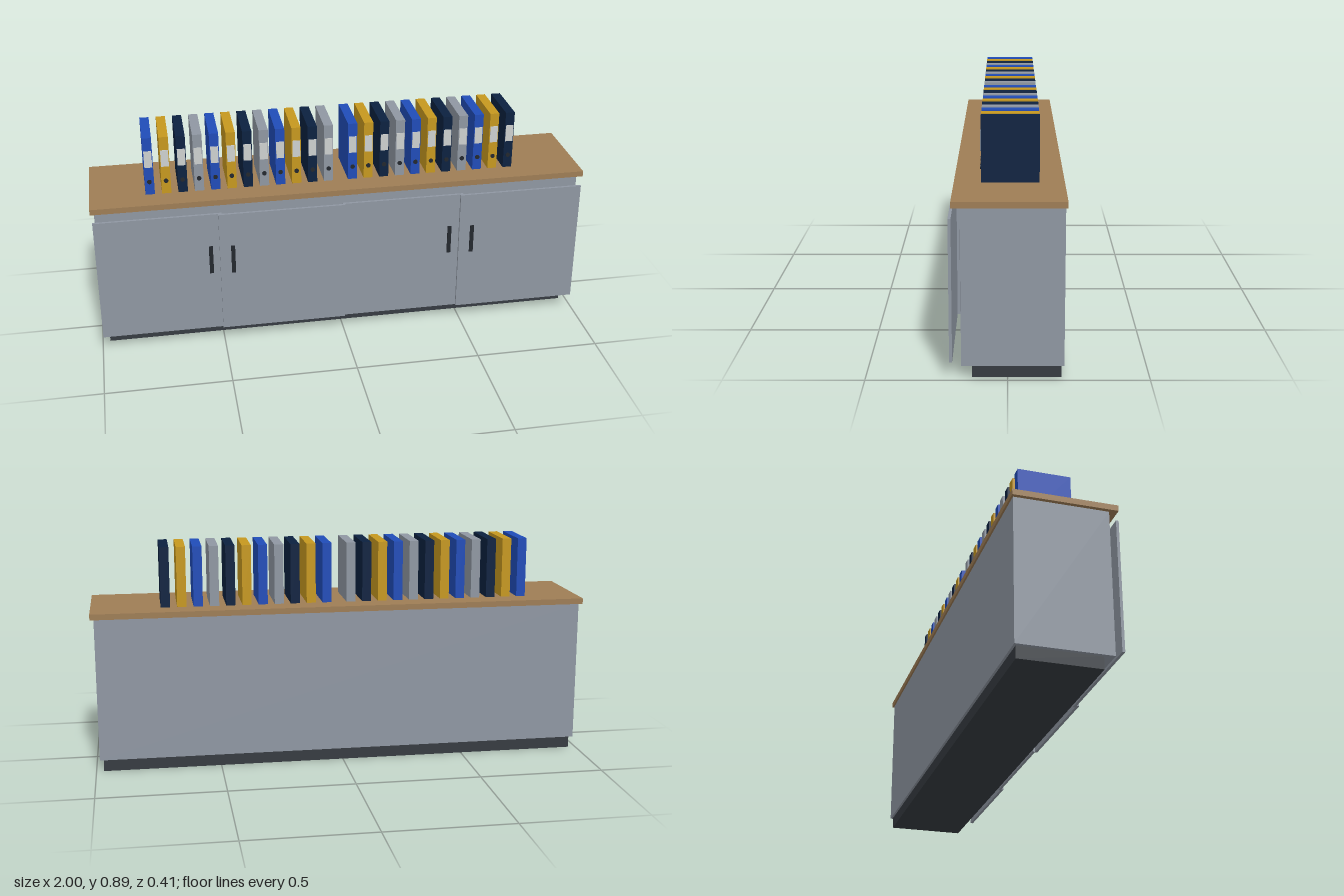
import * as THREE from 'three';

const mat = (name, color) => {
  const m = new THREE.MeshStandardMaterial({ color });
  m.name = name;
  return m;
};

export function createModel() {
  const grey = mat('cabinet grey', 0x8f97a2);
  const wood = mat('wood', 0x9e7d55);
  const dark = mat('dark plinth', 0x363b41);
  const black = mat('handle black', 0x23272d);
  const blue = mat('blue', 0x204cb8);
  const gold = mat('gold', 0xc6981f);
  const navy = mat('navy', 0x0b2140);
  const white = mat('label', 0xcdd0cf);

  const model = new THREE.Group();
  model.name = 'sideboard';

  // Box given by its limits on each axis
  const box = (parent, name, material, [x0, x1], [y0, y1], [z0, z1]) => {
    const mesh = new THREE.Mesh(new THREE.BoxGeometry(x1 - x0, y1 - y0, z1 - z0), material);
    mesh.position.set((x0 + x1) / 2, (y0 + y1) / 2, (z0 + z1) / 2);
    mesh.name = name;
    parent.add(mesh);
    return mesh;
  };

  // Cabinet
  box(model, 'plinth', dark, [-0.97, 0.97], [0, 0.048], [-0.19, 0.126]);
  box(model, 'carcass', grey, [-0.985, 0.985], [0.048, 0.622], [-0.199, 0.163]);
  box(model, 'worktop', wood, [-1, 1], [0.622, 0.645], [-0.206, 0.194]);

  // Sliding doors on two tracks, each with a bar handle
  const doors = [
    { x: [-0.994, -0.49], z: 0.184, handle: -0.54 },
    { x: [-0.505, 0.004], z: 0.194, handle: -0.452 },
    { x: [-0.004, 0.495], z: 0.184, handle: 0.442 },
    { x: [0.482, 0.992], z: 0.194, handle: 0.535 },
  ];
  for (const { x, z, handle } of doors) {
    const door = new THREE.Group();
    door.name = 'slidingDoor';
    box(door, 'doorPanel', grey, x, [0.063, 0.584], [z, z + 0.0105]);
    box(door, 'handle', black, [handle - 0.008, handle + 0.008], [0.321, 0.443], [z + 0.01, z + 0.0145]);
    model.add(door);
  }

  // Ring binders in two rows, colours repeating
  const covers = [blue, gold, navy, grey];
  const holeGeometry = new THREE.CylinderGeometry(0.009, 0.009, 0.004, 16).rotateX(Math.PI / 2);
  const addBinder = (x, cover) => {
    const binder = new THREE.Group();
    binder.name = 'binder';
    box(binder, 'binderCover', cover, [-0.0185, 0.0185], [0.645, 0.887], [-0.115, 0.096]);
    box(binder, 'spineLabel', white, [-0.0155, 0.0155], [0.762, 0.832], [0.096, 0.0985]);
    const hole = new THREE.Mesh(holeGeometry, black);
    hole.name = 'fingerHole';
    hole.position.set(0, 0.7, 0.0975);
    binder.add(hole);
    binder.position.x = x;
    model.add(binder);
  };
  for (const [start, count] of [[-0.761, 12], [0.053, 11]]) {
    for (let i = 0; i < count; i++) addBinder(start + i * 0.0651, covers[i % 4]);
  }

  return model;
}
